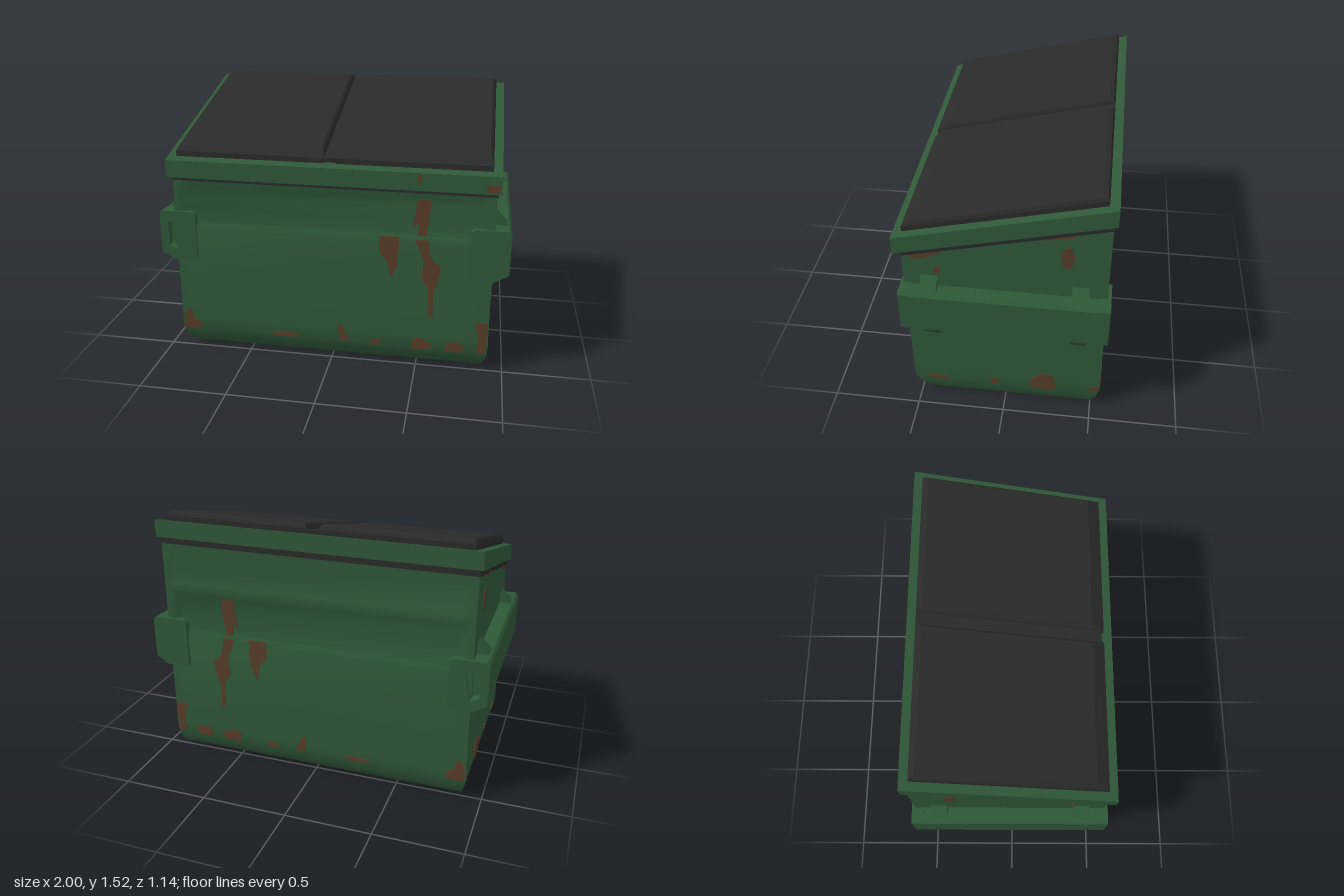
import * as THREE from 'three';
import { toCreasedNormals } from 'three/addons/utils/BufferGeometryUtils.js';

const mat = (name, color) => {
  const m = new THREE.MeshStandardMaterial({ color });
  m.name = name;
  return m;
};

// Height of the sloping rim top at depth z
const rimY = (z) => 1.34 - 0.25 * z;

// Closed solid skinned over equal-length loops, listed bottom to top
function loft(loops, crease) {
  const n = loops[0].length, pos = loops.flat(2), idx = [];
  for (let i = 0; i < loops.length - 1; i++)
    for (let j = 0; j < n; j++) {
      const a = i * n + j, b = i * n + (j + 1) % n;
      idx.push(a, b, b + n, a, b + n, a + n);
    }
  const top = (loops.length - 1) * n;
  for (let j = 1; j < n - 1; j++) idx.push(0, j + 1, j, top, top + j, top + j + 1);
  const g = new THREE.BufferGeometry();
  g.setAttribute('position', new THREE.Float32BufferAttribute(pos, 3));
  g.setIndex(idx);
  return toCreasedNormals(g, crease);
}

const toShape = (pts) => new THREE.Shape(pts.map(([x, y]) => new THREE.Vector2(x, y)));

// x-y outline extruded from z0 to z1
function alongZ(pts, z0, z1, hole) {
  const s = toShape(pts);
  if (hole) s.holes.push(new THREE.Path(hole.map(([x, y]) => new THREE.Vector2(x, y))));
  return new THREE.ExtrudeGeometry(s, { depth: z1 - z0, bevelEnabled: false }).translate(0, 0, z0);
}

// z-y outline extruded from x0 to x1
function alongX(pts, x0, x1) {
  const s = toShape(pts.map(([z, y]) => [-z, y]));
  return new THREE.ExtrudeGeometry(s, { depth: x1 - x0, bevelEnabled: false })
    .rotateY(Math.PI / 2).translate(x0, 0, 0);
}

export function createModel() {
  const green = mat('green paint', 0x2f5838);
  const black = mat('black plastic', 0x2a2a2a);
  const rust = mat('rust', 0x573d2b);
  const root = new THREE.Group();
  const add = (name, geo, m) => {
    const mesh = new THREE.Mesh(geo, m);
    mesh.name = name;
    root.add(mesh);
  };

  // Bin body: [front y, back y, half width, front z, back z, front inset, back inset]
  const rings = [
    [0, 0, 0.87, 0.43, -0.45, 0, 0],
    [0.03, 0.025, 0.885, 0.465, -0.5, 0, 0],
    [0.075, 0.075, 0.9, 0.503, -0.533, 0, 0],
    [0.13, 0.14, 0.91, 0.527, -0.548, 0, 0],
    [0.2, 0.2, 0.91, 0.53, -0.55, 0, 0],
    [0.785, 0.785, 0.91, 0.53, -0.55, 0, 0],
    [0.82, 0.82, 0.91, 0.53, -0.55, 0.018, 0.018],
    [0.9, 1.03, 0.91, 0.53, -0.55, 0.015, 0.015],
    [0.96, 1.07, 0.91, 0.53, -0.55, 0.015, 0],
    [1.0, 1.11, 0.91, 0.53, -0.55, 0.015, 0],
    [1.03, 1.15, 0.91, 0.53, -0.55, 0.012, 0.015],
    [1.07, 1.34, 0.91, 0.53, -0.55, 0, 0],
    [1.13, 1.4, 0.91, 0.53, -0.55, 0, 0],
  ];
  const stations = [[-1, 0], [-0.96, 0], [-0.91, 1], [0.91, 1], [0.96, 0], [1, 0]];
  const bodyLoops = rings.map(([yf, yb, hx, zf, zb, df, db]) => [
    ...stations.map(([u, k]) => [u * hx, yf, zf - k * df]),
    ...stations.map(([u, k]) => [-u * hx, yb, zb + k * db]),
  ]);
  add('binBody', loft(bodyLoops, 0.55), green);

  // Sloping rim and the dark seal beneath it
  const slab = (z0, z1, lo, hi) =>
    [[z0, rimY(z0) + lo], [z1, rimY(z1) + lo], [z1, rimY(z1) + hi], [z0, rimY(z0) + hi]];
  add('rim', alongX(slab(-0.57, 0.57, -0.1, 0), -0.93, 0.93), green);
  add('rimSeal', alongX(slab(-0.554, 0.534, -0.135, -0.09), -0.914, 0.914), black);

  // Two lids with bevelled edges, and the strip between them
  for (const s of [-1, 1]) {
    const lo = s > 0 ? 0.035 : -0.88, hi = s > 0 ? 0.88 : -0.035;
    const loop = (inset, zf, zb, h) => [[lo + inset, zf], [hi - inset, zf], [hi - inset, zb], [lo + inset, zb]]
      .map(([x, z]) => [x, rimY(z) + h, z]);
    add(s > 0 ? 'leftLid' : 'rightLid', loft([
      loop(0, 0.52, -0.52, -0.01),
      loop(0, 0.52, -0.52, 0.03),
      loop(0.008, 0.485, -0.51, 0.047),
      loop(0.022, 0.45, -0.485, 0.06),
      loop(0.04, 0.42, -0.46, 0.06),
    ], 0.3), black);
  }
  add('lidGapStrip', alongX(slab(-0.52, 0.51, -0.01, 0.025), -0.04, 0.04), black);

  // Lifting sleeves on both sides, with open end brackets and gussets
  const sleeve = [[0.9, 0.88], [0.985, 0.88], [1, 0.865], [1, 0.63], [0.93, 0.59], [0.9, 0.59]];
  const bracket = [[0.8, 0.885], [0.985, 0.885], [1, 0.87], [1, 0.63], [0.92, 0.585],
    [0.8, 0.585], [0.785, 0.6], [0.785, 0.87]];
  const slot = [[0.87, 0.82], [0.95, 0.82], [0.955, 0.67], [0.905, 0.65]];
  const upperGusset = [[0.9, 0.96], [0.915, 0.945], [0.98, 0.875], [0.9, 0.875]];
  const lowerGusset = [[0.9, 0.505], [0.912, 0.515], [0.998, 0.635], [0.9, 0.635]];
  for (const s of [-1, 1]) {
    const side = s > 0 ? 'left' : 'right';
    const flip = (pts) => pts.map(([x, y]) => [s * x, y]);
    add(side + 'Sleeve', alongZ(flip(sleeve), -0.51, 0.49), green);
    add(side + 'FrontBracket', alongZ(flip(bracket), 0.485, 0.547, flip(slot)), green);
    add(side + 'BackBracket', alongZ(flip(bracket), -0.57, -0.505, flip(slot)), green);
    for (const z of [0.39, -0.41]) {
      add(side + 'UpperGusset', alongZ(flip(upperGusset), z - 0.045, z + 0.045), green);
      add(side + 'LowerGusset', alongZ(flip(lowerGusset), z - 0.045, z + 0.045), green);
    }
  }

  // Rust on the front and back: [inset from the wall, outline]
  const wallRust = [
    [0.014, [[0.48, 1.08], [0.56, 1.08], [0.555, 0.95], [0.54, 0.82], [0.49, 0.82], [0.5, 0.9], [0.46, 0.86], [0.48, 0.98]]],
    [0, [[0.48, 0.8], [0.55, 0.8], [0.57, 0.69], [0.625, 0.64], [0.61, 0.54], [0.59, 0.5], [0.59, 0.33], [0.565, 0.34],
      [0.56, 0.52], [0.52, 0.56], [0.53, 0.68]]],
    [0, [[0.28, 0.81], [0.39, 0.81], [0.385, 0.64], [0.345, 0.56], [0.325, 0.66], [0.28, 0.71]]],
    [0, [[-0.9, 0.13], [-0.8, 0.13], [-0.79, 0.17], [-0.84, 0.2], [-0.86, 0.27], [-0.9, 0.23]]],
    [0, [[-0.35, 0.13], [-0.21, 0.13], [-0.19, 0.145], [-0.25, 0.16], [-0.34, 0.15]]],
    [0, [[0.06, 0.13], [0.12, 0.14], [0.09, 0.18], [0.07, 0.23], [0.04, 0.23]]],
    [0, [[0.22, 0.12], [0.29, 0.13], [0.3, 0.16], [0.25, 0.16]]],
    [0, [[0.47, 0.12], [0.58, 0.12], [0.59, 0.16], [0.52, 0.2], [0.48, 0.18]]],
    [0, [[0.67, 0.12], [0.76, 0.12], [0.78, 0.16], [0.71, 0.19], [0.67, 0.16]]],
    [0, [[0.84, 0.13], [0.9, 0.13], [0.905, 0.32], [0.83, 0.32], [0.86, 0.2]]],
  ];
  for (const [inset, pts] of wallRust) {
    add('frontRust', alongZ(pts, 0.527 - inset, 0.533 - inset), rust);
    add('backRust', alongZ(pts, -0.553 + inset, -0.547 + inset), rust);
  }
  add('rimRust', alongZ([[0.85, 1.11], [0.92, 1.11], [0.925, 1.15], [0.85, 1.15]], 0.567, 0.573), rust);
  add('rimRust', alongZ([[0.48, 1.19], [0.515, 1.19], [0.505, 1.14], [0.49, 1.14]], 0.567, 0.573), rust);

  // Rust on both sides, outlines in z and y
  const oval = (z, y, rz, ry) => Array.from({ length: 10 }, (_, i) =>
    [z + rz * Math.cos(i * Math.PI / 5), y + ry * Math.sin(i * Math.PI / 5)]);
  const sideRust = [
    [[0.48, 1.06], [0.44, 1.06], [0.34, 1.1], [0.32, 1.13], [0.48, 1.09]],
    [[-0.15, 1.25], [-0.24, 1.255], [-0.36, 1.28], [-0.36, 1.31], [-0.15, 1.26]],
    oval(-0.335, 1.145, 0.035, 0.07),
    oval(0.345, 0.995, 0.02, 0.03),
    oval(0.39, 0.135, 0.065, 0.015),
    oval(0.06, 0.145, 0.027, 0.025),
    [[-0.14, 0.13], [-0.2, 0.115], [-0.29, 0.12], [-0.3, 0.16], [-0.27, 0.24], [-0.21, 0.245], [-0.16, 0.2]],
    [[-0.48, 0.14], [-0.53, 0.125], [-0.548, 0.18], [-0.5, 0.17]],
  ];
  for (const pts of sideRust)
    for (const x of [-0.91, 0.91]) add('sideRust', alongX(pts, x - 0.004, x + 0.004), rust);

  return root;
}
